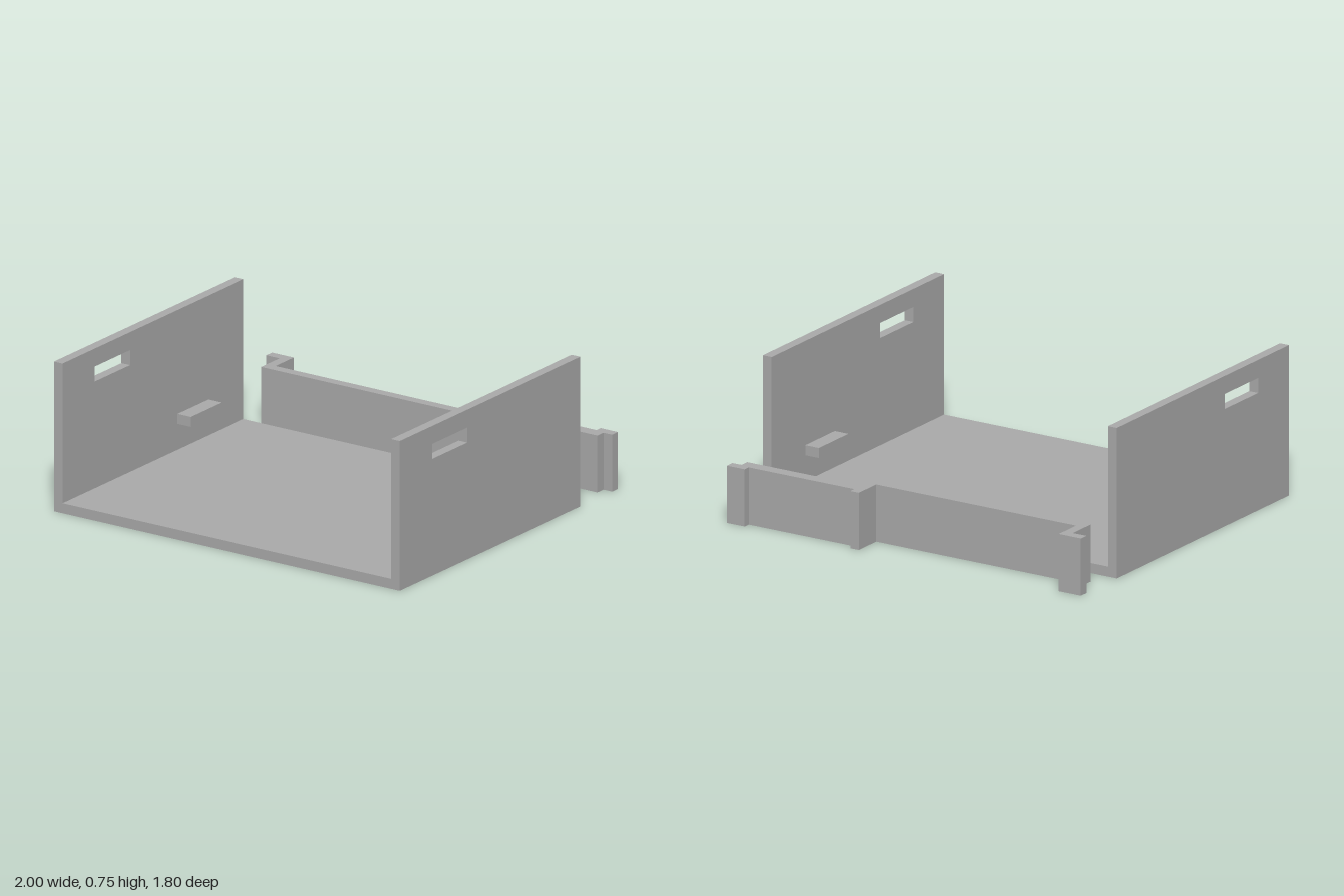
import * as THREE from 'three';

export function createModel() {
  const model = new THREE.Group();
  const grey = new THREE.MeshStandardMaterial({ color: 0xaaaaaa });
  grey.name = 'plain grey';

  const add = (name, geometry) => {
    const mesh = new THREE.Mesh(geometry, grey);
    mesh.name = name;
    model.add(mesh);
  };
  const box = (name, [x0, x1], [y0, y1], [z0, z1]) => {
    const g = new THREE.BoxGeometry(x1 - x0, y1 - y0, z1 - z0);
    add(name, g.translate((x0 + x1) / 2, (y0 + y1) / 2, (z0 + z1) / 2));
  };
  const rectangle = (Type, x0, x1, y0, y1) => new Type([
    new THREE.Vector2(x0, y0), new THREE.Vector2(x1, y0),
    new THREE.Vector2(x1, y1), new THREE.Vector2(x0, y1),
  ]);

  const T = 0.05, H = 0.75, BACK = -0.59, FRONT = 0.9;

  // Tray floor, between the two walls
  box('floor', [-1 + T, 1 - T], [0, T], [BACK, FRONT]);

  // Side walls with a hand slot, drawn in (z, y) and extruded along x
  const wall = rectangle(THREE.Shape, BACK, FRONT, 0, H);
  wall.holes.push(rectangle(THREE.Path, 0.345, 0.635, 0.585, 0.66));
  for (const [side, outerX] of [['left', 1], ['right', -1 + T]]) {
    const g = new THREE.ExtrudeGeometry(wall, { depth: T, bevelEnabled: false });
    add(side + 'Wall', g.rotateY(-Math.PI / 2).translate(outerX, 0, 0));
  }

  // Small support blocks on the inner faces
  box('leftSupport', [0.873, 1 - T], [0.18, 0.23], [-0.3, -0.045]);
  box('rightSupport', [-1 + T, -0.873], [0.18, 0.23], [-0.3, -0.045]);

  // Separate stepped back panel: plan outline in (x, z), extruded upward
  const outline = [
    [-1, -0.9], [-0.875, -0.9], [-0.875, -0.75], [0.255, -0.75], [0.255, -0.9],
    [0.303, -0.9], [0.303, -0.865], [0.9, -0.865], [0.9, -0.9], [1, -0.9],
    [1, -0.852], [0.95, -0.852], [0.95, -0.802], [0.303, -0.802], [0.303, -0.7],
    [-0.923, -0.7], [-0.923, -0.852], [-1, -0.852],
  ].map(([x, z]) => new THREE.Vector2(x, z));
  const panel = new THREE.ExtrudeGeometry(new THREE.Shape(outline), { depth: 0.285, bevelEnabled: false });
  add('backPanel', panel.rotateX(Math.PI / 2).translate(0, 0.285, 0));

  return model;
}
